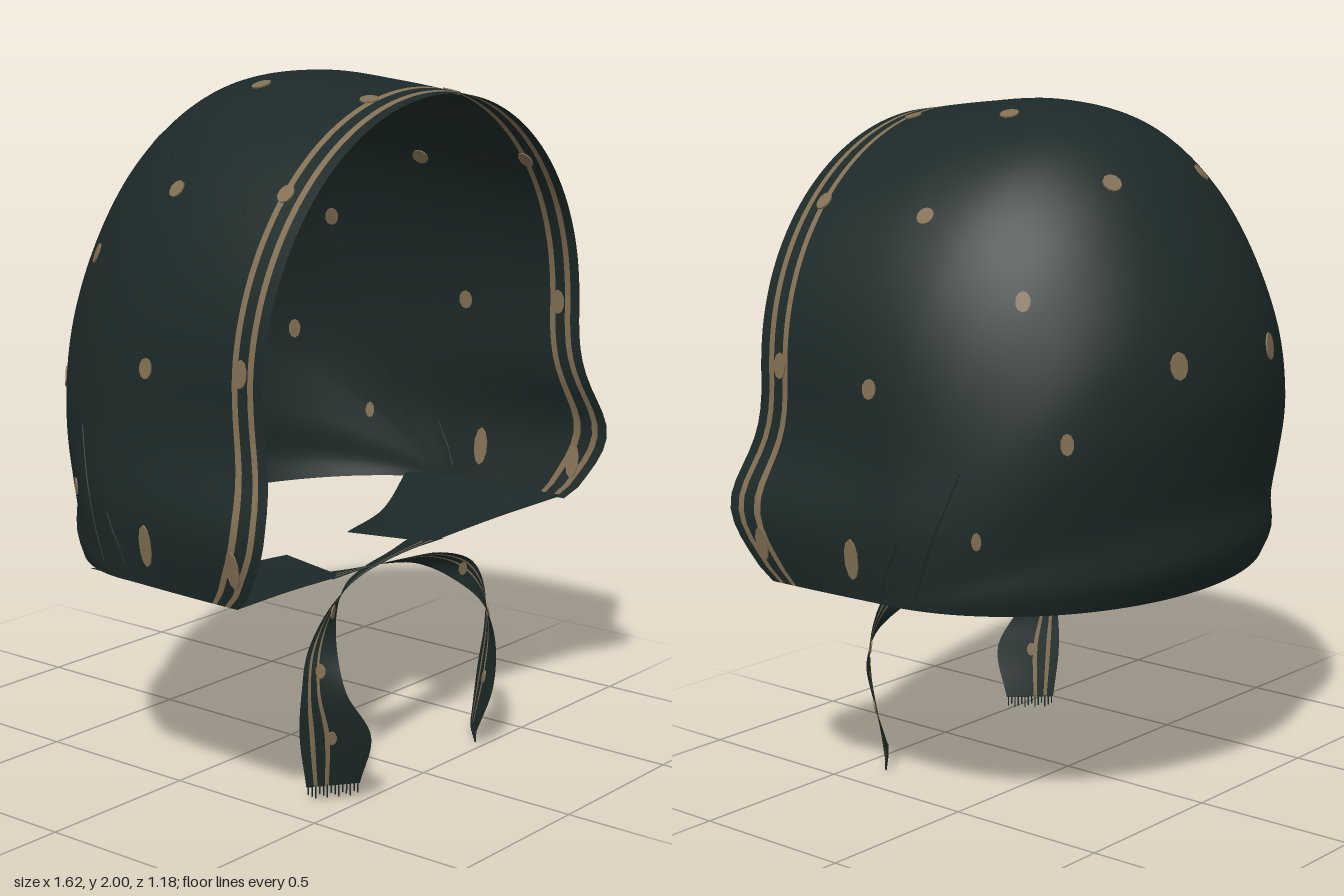
import * as THREE from 'three';

const V = (x, y, z) => new THREE.Vector3(x, y, z);
const { lerp, smoothstep } = THREE.MathUtils;
const gauss = (v, c, w) => Math.exp(-(((v - c) / w) ** 2));
const range = (a, b, n) => Array.from({ length: n + 1 }, (_, i) => lerp(a, b, i / n));

// Surface grid from fn(u, v); rows whose start u is in stripeRows use material 1
function gridGeometry(us, vs, fn, stripeRows) {
  const pos = [], idx = [], n = vs.length;
  us.forEach(u => vs.forEach(v => pos.push(...fn(u, v).toArray())));
  const g = new THREE.BufferGeometry();
  for (let i = 0; i < us.length - 1; i++) {
    const start = idx.length;
    for (let j = 0; j < n - 1; j++) {
      const a = i * n + j, b = a + 1, c = a + n, d = c + 1;
      idx.push(a, b, c, b, d, c);
    }
    g.addGroup(start, idx.length - start, stripeRows.includes(us[i]) ? 1 : 0);
  }
  g.setAttribute('position', new THREE.Float32BufferAttribute(pos, 3));
  g.setIndex(idx);
  g.computeVertexNormals();
  return g;
}

// Centre line of the hood, from front brim over the crown to the nape
const ridge = new THREE.CatmullRomCurve3([
  V(0, 1.955, 0.54), V(0, 1.985, 0.3), V(0, 2, 0.08), V(0, 1.96, -0.15), V(0, 1.84, -0.33),
  V(0, 1.66, -0.47), V(0, 1.44, -0.57), V(0, 1.22, -0.597), V(0, 1.03, -0.57),
  V(0, 0.87, -0.54), V(0, 0.74, -0.545), V(0, 0.64, -0.5),
]);
ridge.arcLengthDivisions = 600;

// Hood surface: t runs from brim to nape, f (0..1) from left hem over to right hem
function hoodPoint(t, f) {
  const r = ridge.getPointAt(t);
  // each arch has straight legs up to s0, then a round top
  const s0 = 0.45 * (1 - smoothstep(t, 0, 0.75));
  const q = s0 * 0.5, m = Math.max(0, Math.min(f, 1 - f) * 2);
  const phi = Math.max(0, (m - q) / (1 - q)) * Math.PI / 2;
  const s = m < q ? s0 * m / q : s0 + (1 - s0) * Math.sin(phi);
  const hemZ = 0.05 + 0.39 * Math.pow(1 - t, 5);
  const y = lerp(0.66, r.y, s);
  let z = lerp(hemZ, r.z, Math.pow(s, lerp(0.35, 1, Math.min(1, t * 3))));
  let x = 0.735 * Math.cos(phi) * (f < 0.5 ? 1 : -1);
  // cheeks flare outwards and forwards near the brim
  const flareX = gauss(y, 0.86, y > 0.86 ? 0.15 : 0.22);
  const flareZ = gauss(y, 0.87, y > 0.87 ? 0.2 : 0.17);
  const side = Math.cos(phi);
  x *= 1 + 0.1 * flareX * smoothstep(z, -0.35, 0.5);
  z += 0.09 * flareZ * smoothstep(z, 0.2, 0.46) * side;
  return V(x, y, z);
}

// Nearest hood surface point and normal
function locate(p) {
  let best = [0, 0], d = Infinity;
  for (const t of range(0.01, 0.99, 120)) for (const f of range(0.01, 0.49, 80)) {
    const e = hoodPoint(t, f).distanceToSquared(p);
    if (e < d) { d = e; best = [t, f]; }
  }
  const [t, f] = best, h = 0.003;
  const du = hoodPoint(t + h, f).sub(hoodPoint(t - h, f));
  const dv = hoodPoint(t, f + h).sub(hoodPoint(t, f - h));
  return { point: hoodPoint(t, f), normal: du.cross(dv).normalize() };
}

// Thin printed disc facing along z
function discGeometry(r, stretch) {
  const g = new THREE.CylinderGeometry(r, r, 0.008, 10);
  g.rotateX(Math.PI / 2);
  g.scale(1, stretch, 1);
  return g;
}

export function createModel() {
  const model = new THREE.Group();
  const cloth = new THREE.MeshStandardMaterial({ color: 0x1c2928, side: THREE.DoubleSide });
  cloth.name = 'dark green cloth';
  const tan = new THREE.MeshStandardMaterial({ color: 0x826f53, side: THREE.DoubleSide });
  tan.name = 'tan print';
  const add = (name, geo, mat, parent = model) => {
    const m = new THREE.Mesh(geo, mat);
    m.name = name;
    parent.add(m);
    return m;
  };

  // Hood with two printed stripes along the brim
  const rows = [0, 0.0145, 0.0235, 0.039, 0.048, ...range(0.07, 1, 56)];
  add('hood', gridGeometry(rows, range(0, 1, 128), hoodPoint, [0.0145, 0.039]), [cloth, tan]);

  // Printed spots: x, y, z, radius, vertical stretch; mirrored to both sides
  const spots = new THREE.Group();
  spots.name = 'spots';
  model.add(spots);
  const spotTable = [
    [0.21, 1.81, -0.33, 0.028, 1], [0.21, 1.31, -0.56, 0.029, 1.35], [0.55, 1.52, -0.3, 0.021, 1.4],
    [0.49, 1.13, -0.4, 0.019, 1.6], [0.2, 1.97, 0.06, 0.028, 1], [0.56, 1.73, 0.06, 0.026, 1],
    [0.735, 1.26, 0.105, 0.023, 1.25], [0.75, 0.77, 0.14, 0.023, 2.6], [0.69, 0.86, -0.24, 0.014, 1.8],
    [0.18, 1.94, 0.435, 0.026, 1], [0.54, 1.73, 0.435, 0.024, 1.2], [0.735, 1.28, 0.44, 0.022, 1.7],
    [0.79, 0.78, 0.46, 0.022, 2.4],
  ];
  for (const [x, y, z, r, stretch] of spotTable) {
    const { point, normal } = locate(V(x, y, z));
    for (const side of [1, -1]) {
      const spot = add('spot', discGeometry(r, stretch), tan, spots);
      spot.position.set(point.x * side, point.y, point.z);
      spot.lookAt(V((point.x + normal.x) * side, point.y + normal.y, point.z + normal.z));
    }
  }

  // Ties: a pointed flap under each cheek, then a ribbon that crosses and hangs down
  const flapFront = [[-0.76, 0.662, 0.46], [-0.48, 0.635, 0.4], [-0.21, 0.61, 0.36]];
  const flapBack = [[-0.73, 0.66, -0.12], [-0.45, 0.605, 0], [-0.14, 0.61, 0.1]];
  const ribbonFront = [[-0.26, 0.613, 0.37], [-0.1, 0.615, 0.375], [0.05, 0.612, 0.39],
    [0.2, 0.6, 0.41], [0.34, 0.545, 0.42], [0.42, 0.44, 0.41], [0.435, 0.32, 0.4],
    [0.425, 0.19, 0.385], [0.395, 0.03, 0.385]];
  const ribbonBack = [[-0.26, 0.605, 0.26], [-0.1, 0.592, 0.29], [0.05, 0.58, 0.31],
    [0.17, 0.56, 0.34], [0.27, 0.505, 0.39], [0.345, 0.42, 0.455], [0.355, 0.32, 0.495],
    [0.295, 0.19, 0.535], [0.28, 0.035, 0.485]];
  for (const side of [1, -1]) {
    const tie = new THREE.Group();
    tie.name = side > 0 ? 'leftTie' : 'rightTie';
    model.add(tie);
    const lift = side > 0 ? 0 : 0.01;
    const curve = pts => new THREE.CatmullRomCurve3(pts.map(([x, y, z]) => V(x * side, y + lift, z)));
    const between = (a, b) => {
      const front = curve(a), back = curve(b);
      return (u, v) => front.getPoint(v).lerp(back.getPoint(v), u);
    };
    const flapPoint = between(flapFront, flapBack);
    const tiePoint = between(ribbonFront, ribbonBack);
    add('flap', gridGeometry(range(0, 1, 4), range(0, 1, 12), flapPoint, []), cloth, tie);
    const lanes = [0, 0.14, 0.21, 0.35, 0.42, 0.7, 1];
    add('ribbon', gridGeometry(lanes, range(0, 1, 60), tiePoint, [0.14, 0.35]), [cloth, tan], tie);

    // Spots on the tail
    for (const v of [0.5, 0.68, 0.88]) {
      const p = tiePoint(0.45, v);
      const du = tiePoint(0.5, v).sub(p), dv = tiePoint(0.45, v + 0.02).sub(p);
      const spot = add('tailSpot', discGeometry(0.014, 1.5), tan, tie);
      spot.position.copy(p);
      spot.lookAt(p.clone().add(du.cross(dv).normalize()));
    }

    // Fringe threads
    for (let i = 0; i < 14; i++) {
      const q = tiePoint((i + 0.5) / 14, 1);
      const len = 0.026 + 0.006 * (i % 3);
      const thread = add('fringe', new THREE.BoxGeometry(0.003, len, 0.003), cloth, tie);
      thread.position.set(q.x, q.y - len / 2 + 0.004, q.z);
    }

    // Fold creases on the lower cheeks
    for (const [z0, z1, top] of [[0.05, -0.01, 0.84], [-0.06, -0.2, 1.05]]) {
      const pts = range(0, 1, 4).map(k => {
        const p = locate(V(0.74, lerp(0.69, top, k), lerp(z0, z1, k))).point;
        return V(p.x * side, p.y, p.z);
      });
      add('crease', new THREE.TubeGeometry(new THREE.CatmullRomCurve3(pts), 16, 0.003, 5), cloth);
    }
  }
  return model;
}
